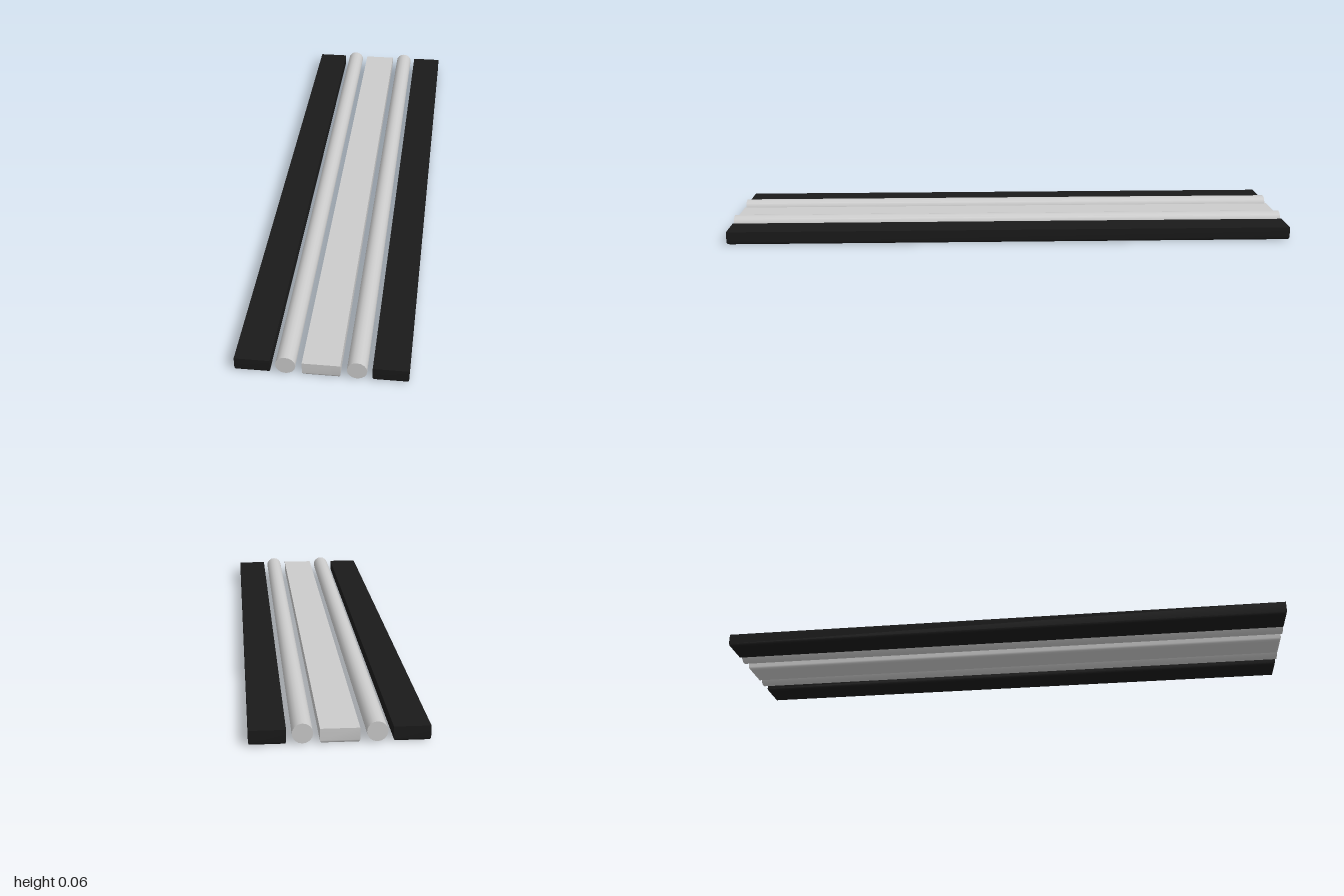
import * as THREE from 'three';

const LENGTH = 2;

// Bar with a flat top, sharp vertical corners and softened lower edges.
function barGeometry(width, height, length) {
  const rings = [[0, 0.01], [0.003, 0.003], [0.01, 0], [height, 0]]; // [y, inset]
  const pos = [], idx = [];
  const corners = ([y, inset]) => {
    const x = width / 2 - inset, z = length / 2 - inset;
    return [[-x, y, z], [x, y, z], [x, y, -z], [-x, y, -z]];
  };
  // four walls, each smooth from bottom to top
  for (let side = 0; side < 4; side++) {
    const start = pos.length / 3;
    rings.forEach((ring, i) => {
      const c = corners(ring);
      pos.push(...c[side], ...c[(side + 1) % 4]);
      if (i === 0) return;
      const a = start + (i - 1) * 2;
      idx.push(a, a + 1, a + 3, a, a + 3, a + 2);
    });
  }
  // top and bottom caps
  const top = pos.length / 3;
  pos.push(...corners(rings[rings.length - 1]).flat(), ...corners(rings[0]).flat());
  idx.push(top, top + 1, top + 2, top, top + 2, top + 3);
  idx.push(top + 4, top + 6, top + 5, top + 4, top + 7, top + 6);

  const geometry = new THREE.BufferGeometry();
  geometry.setAttribute('position', new THREE.Float32BufferAttribute(pos, 3));
  geometry.setIndex(idx);
  geometry.computeVertexNormals();
  return geometry;
}

export function createModel() {
  const model = new THREE.Group();
  model.name = 'railStrip';
  const grey = new THREE.MeshStandardMaterial({ color: 0xcccccc });
  const black = new THREE.MeshStandardMaterial({ color: 0x1a1a1a });

  const add = (name, geometry, material, x, y = 0) => {
    const mesh = new THREE.Mesh(geometry, material);
    mesh.name = name;
    mesh.position.set(x, y, 0);
    model.add(mesh);
  };

  // Centre bar
  add('centreBar', barGeometry(0.117, 0.047, LENGTH), grey, 0);

  // Mirrored round rods and black outer bars
  const rod = new THREE.CylinderGeometry(0.031, 0.031, LENGTH, 16).rotateX(Math.PI / 2);
  const outer = barGeometry(0.11, 0.047, LENGTH);
  for (const [side, s] of [['left', 1], ['right', -1]]) {
    add(side + 'Rod', rod, grey, s * 0.109, 0.034);
    add(side + 'OuterBar', outer, black, s * 0.211);
  }
  return model;
}
